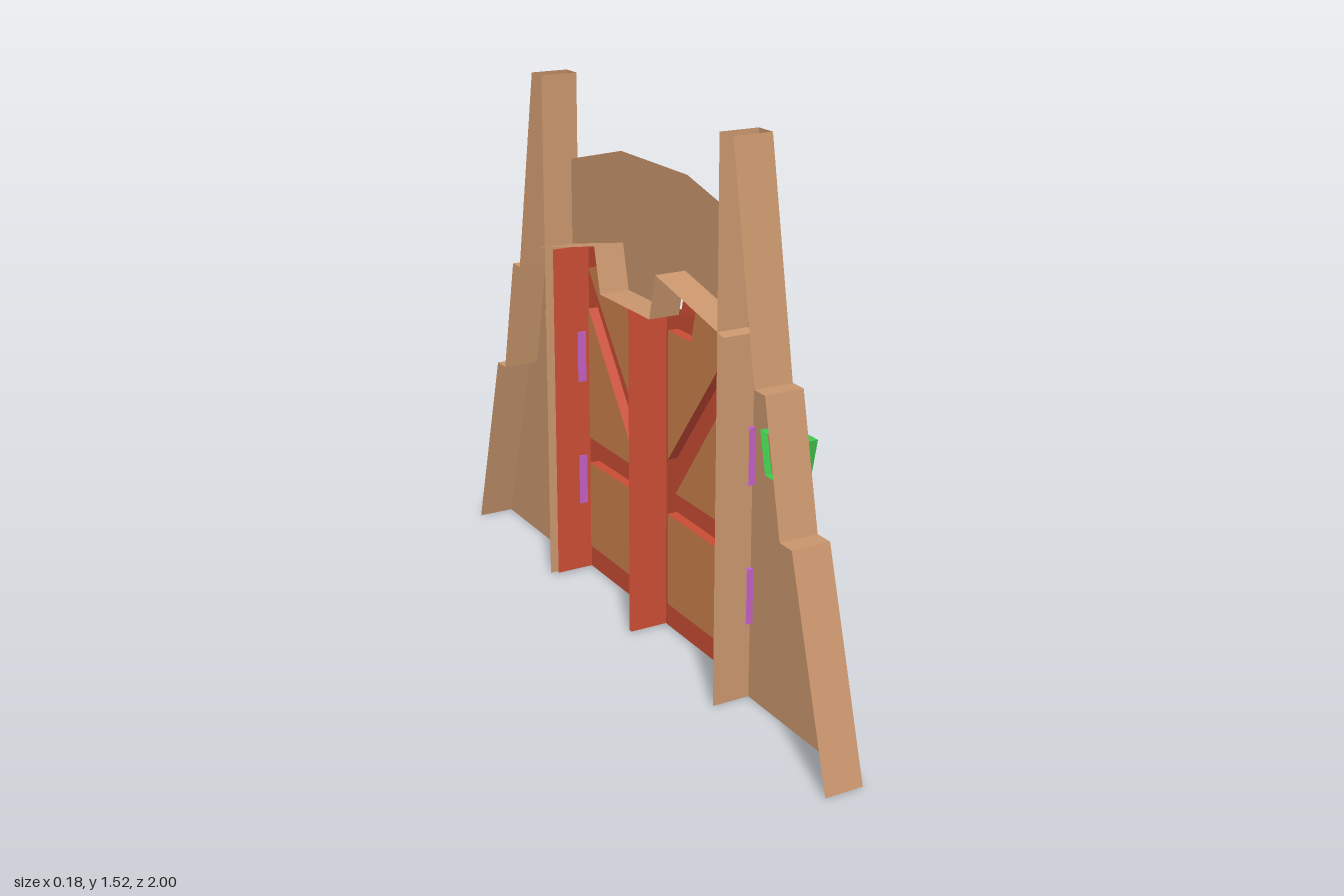
import * as THREE from 'three';

const paint = (color) => new THREE.MeshStandardMaterial({ color, side: THREE.DoubleSide, flatShading: true });

export function createModel() {
  const model = new THREE.Group();
  const wood = paint(0xc8956c), red = paint(0xc84c34), panelWood = paint(0xc87e4a);
  const green = paint(0x40c84c), purple = paint(0xc060c0);

  function add(parent, name, geometry, material) {
    const mesh = new THREE.Mesh(geometry, material);
    mesh.name = name;
    parent.add(mesh);
  }

  // Outlines are [z, y] pairs; every sheet faces +x
  const vectors = (points) => points.map(([z, y]) => new THREE.Vector2(-z, y));
  function sheet(points, x, holes = []) {
    const shape = new THREE.Shape(vectors(points));
    holes.forEach((h) => shape.holes.push(new THREE.Path(vectors(h))));
    return new THREE.ShapeGeometry(shape).rotateY(Math.PI / 2).translate(x, 0, 0);
  }

  // Thin wall that follows an outline from depth x0 to x1
  function wall(points, x0, x1, closed = false) {
    const path = closed ? [...points, points[0]] : points;
    const position = [];
    for (let i = 0; i < path.length - 1; i++) {
      const [za, ya] = path[i], [zb, yb] = path[i + 1];
      position.push(x0, ya, za, x1, ya, za, x1, yb, zb, x0, ya, za, x1, yb, zb, x0, yb, zb);
    }
    const geometry = new THREE.BufferGeometry();
    geometry.setAttribute('position', new THREE.Float32BufferAttribute(position, 3));
    geometry.computeVertexNormals();
    return geometry;
  }

  // Shallow box without a back
  function openBox(parent, name, points, x0, x1, material) {
    add(parent, name + 'Face', sheet(points, x1), material);
    add(parent, name + 'Rim', wall(points, x0, x1, true), material);
  }

  const mirrored = (s, points) => points.map(([z, y]) => [s * z, y]);

  for (const s of [1, -1]) {
    const side = s > 0 ? 'left' : 'right';
    const m = (points) => mirrored(s, points);

    // Stepped post: front, stepped outer wall and inner wall, open top and back
    const post = new THREE.Group();
    post.name = side + 'Post';
    model.add(post);
    const steps = [[1, 0], [0.83, 0.58], [0.777, 0.58], [0.7, 0.93], [0.653, 0.93], [0.542, 1.525]];
    const inner = [[0.48, 1.525], [0.48, 0]];
    add(post, 'postFront', sheet(m([...steps, ...inner]), 0.02), wood);
    add(post, 'postOuterWall', wall(m(steps), -0.09, 0.02), wood);
    add(post, 'postInnerWall', wall(m(inner), -0.09, 0.02), wood);

    // Door leaf with three recessed panels
    const door = new THREE.Group();
    door.name = side + 'Door';
    model.add(door);
    const outline = [[0.004, 0.006], [0.457, 0.006], [0.457, 1.025], [0.178, 1.09], [0.146, 0.966], [0.004, 0.966]];
    const panels = [
      [[0.064, 0.1], [0.402, 0.1], [0.402, 0.37], [0.064, 0.374]],
      [[0.108, 0.45], [0.402, 0.45], [0.402, 0.85]],
      [[0.064, 0.535], [0.402, 0.973], [0.212, 1.015], [0.184, 0.908], [0.064, 0.908]],
    ].map(m);
    add(door, 'doorFrame', sheet(m(outline), 0.04, panels), red);
    panels.forEach((p) => {
      add(door, 'panel', sheet(p, 0.01), panelWood);
      add(door, 'panelRecess', wall(p, 0.01, 0.04, true), red);
    });
    add(door, 'doorOuterEdge', wall(m([outline[1], outline[2]]), -0.075, 0.04), red);
    add(door, 'doorInnerEdge', wall(m([outline[5], outline[0]]), -0.075, 0.04), red);
    add(door, 'doorNotchEdge', wall(m([outline[3], outline[4]]), 0, 0.04), red);

    // Hinges
    for (const y of [0.22, 0.61]) {
      openBox(model, side + 'Hinge', m([[0.454, y], [0.493, y], [0.493, y + 0.155], [0.454, y + 0.155]]), 0, 0.027, purple);
    }

    // Tapered lamp
    openBox(model, side + 'Lamp', m([[0.57, 0.665], [0.647, 0.665], [0.673, 0.778], [0.543, 0.778]]), 0, 0.085, green);
  }

  // Arch between the posts, with a soffit running back above the doors
  const soffit = [[0.51, 1.022], [0.17, 1.1], [0.138, 0.972]];
  const lower = [...soffit, ...mirrored(-1, soffit).reverse()];
  const upper = [[-0.51, 1.272], [-0.178, 1.355], [0.178, 1.355], [0.51, 1.272]];
  add(model, 'archFront', sheet([...lower, ...upper], 0), wood);
  add(model, 'archSoffit', wall(lower, -0.09, 0), wood);

  return model;
}
